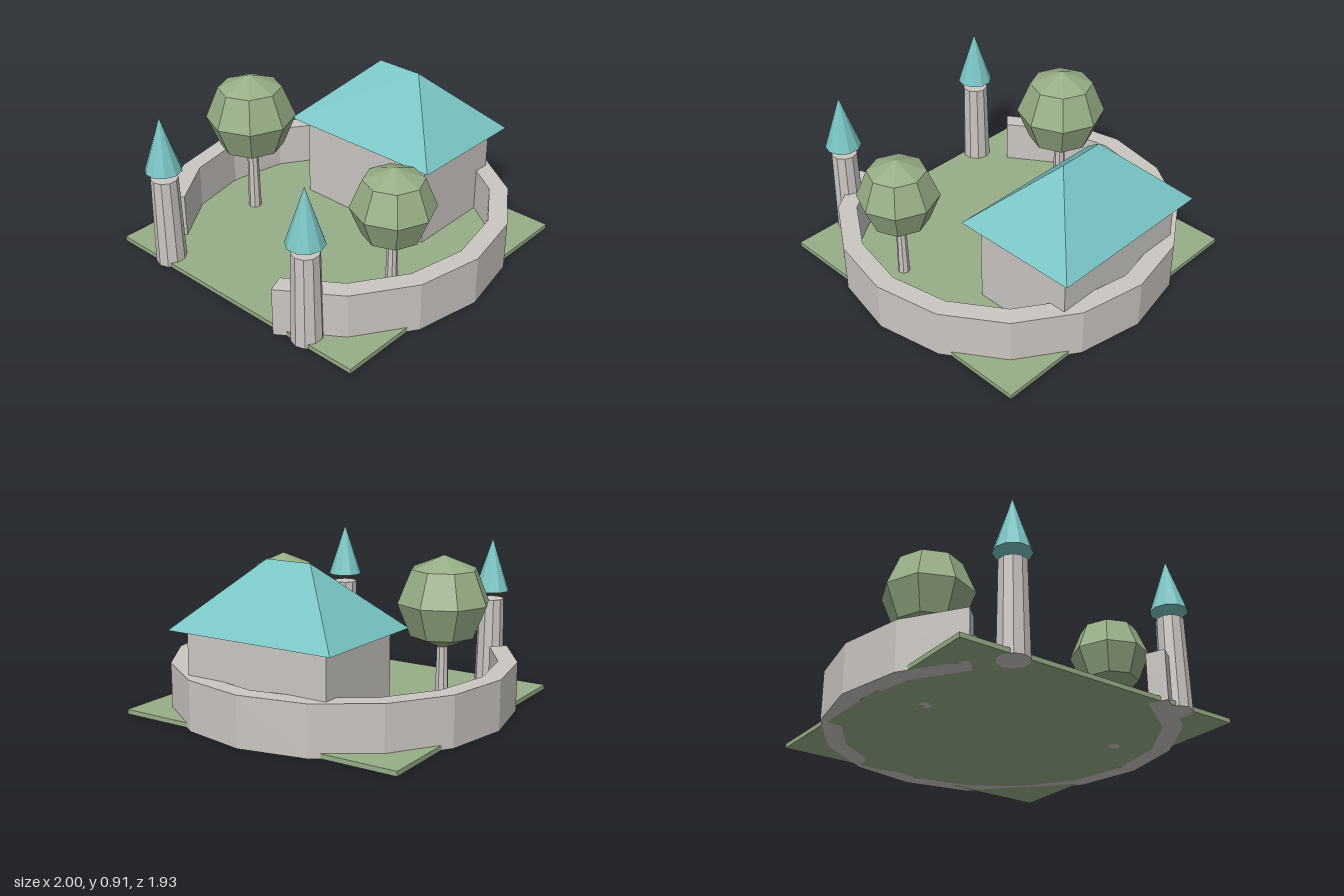
import * as THREE from 'three';

const material = (name, color) => {
  const m = new THREE.MeshStandardMaterial({ color });
  m.name = name;
  return m;
};

// Faceted mesh: every face gets its own flat normal
function part(name, geometry, mat, x = 0, y = 0, z = 0) {
  const flat = geometry.index ? geometry.toNonIndexed() : geometry;
  flat.computeVertexNormals();
  const mesh = new THREE.Mesh(flat, mat);
  mesh.name = name;
  mesh.position.set(x, y, z);
  return mesh;
}

// Open ring of 16ths of a circle, with a gap at the front
function wallGeometry(outer, inner, height) {
  const step = Math.PI / 8;
  const at = (r, i) => new THREE.Vector2(r * Math.sin(i * step), -r * Math.cos(i * step));
  const points = [];
  for (let i = 1; i <= 14; i++) points.push(at(outer, i));
  for (let i = 14; i >= 1; i--) points.push(at(inner, i));
  return new THREE.ExtrudeGeometry(new THREE.Shape(points), { depth: height, bevelEnabled: false })
    .rotateX(-Math.PI / 2);
}

// Hipped roof: a box whose top is pinched into a ridge
function roofGeometry(width, height, depth, ridge) {
  const g = new THREE.BoxGeometry(width, height, depth);
  const p = g.attributes.position;
  for (let i = 0; i < p.count; i++) {
    if (p.getY(i) > 0) p.setXYZ(i, Math.sign(p.getX(i)) * ridge / 2, height / 2, 0);
  }
  return g;
}

export function createModel() {
  const stone = material('stone', 0xcac6c2);
  const green = material('green', 0x96ad86);
  const teal = material('teal', 0x79c4c4);
  const model = new THREE.Group();
  model.name = 'walledCourtyard';

  // Lawn and curved wall
  model.add(part('lawn', new THREE.BoxGeometry(1.77, 0.027, 1.77), green, 0, 0.0135, 0.035));
  model.add(part('curvedWall', wallGeometry(1, 0.89, 0.287), stone, 0, 0, 0.035));

  // House
  const house = new THREE.Group();
  house.name = 'house';
  house.position.z = -0.505;
  house.add(part('houseWalls', new THREE.BoxGeometry(0.9, 0.53, 0.615), stone, 0, 0.275, 0));
  house.add(part('houseRoof', roofGeometry(1.045, 0.37, 0.76, 0.285), teal, 0, 0.725, 0));
  model.add(house);

  // Gate towers, with the cone caps raised clear of the shafts
  for (const side of [-1, 1]) {
    const tower = new THREE.Group();
    tower.name = side > 0 ? 'leftTower' : 'rightTower';
    tower.position.set(side * 0.537, 0, 0.862);
    tower.add(part('towerShaft', new THREE.CylinderGeometry(0.077, 0.088, 0.54, 10), stone, 0, 0.27, 0));
    const cap = new THREE.ConeGeometry(0.105, 0.32, 10).rotateY(Math.PI / 2);
    tower.add(part('towerCap', cap, teal, 0, 0.75, 0));
    model.add(tower);
  }

  // Trees: name, x, z, crown radius, crown centre height
  const trees = [
    ['rightTree', -0.58, 0.157, 0.265, 0.642],
    ['leftTree', 0.615, 0.282, 0.234, 0.566],
  ];
  for (const [name, x, z, r, y] of trees) {
    const tree = new THREE.Group();
    tree.name = name;
    tree.position.set(x, 0, z);
    const h = y - r * 0.8;
    tree.add(part('trunk', new THREE.CylinderGeometry(r * 0.12, r * 0.15, h, 8), stone, 0, h / 2, 0));
    tree.add(part('crown', new THREE.SphereGeometry(r, 8, 4), green, 0, y, 0));
    model.add(tree);
  }
  return model;
}
